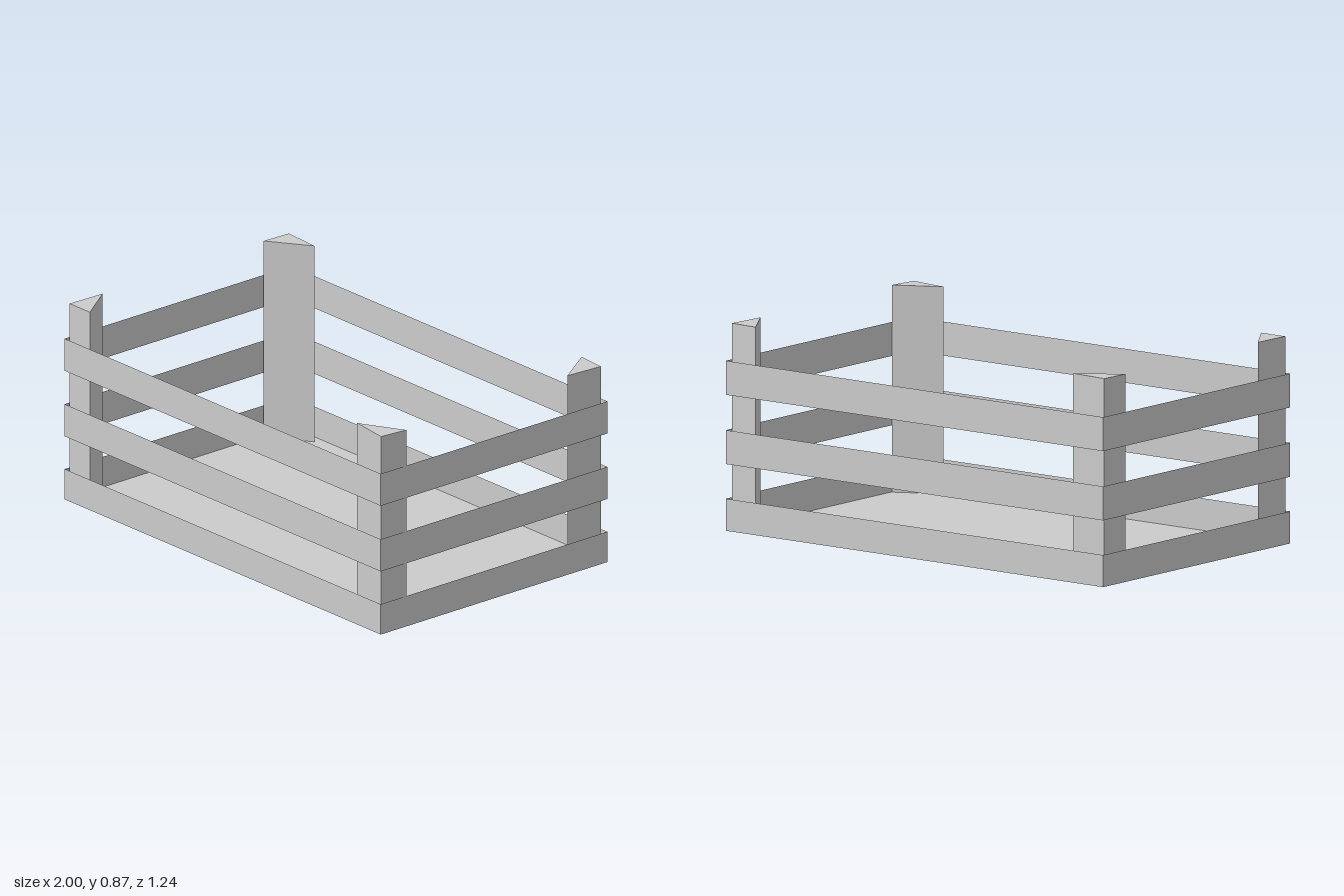
import * as THREE from 'three';

const W = 2, D = 1.24, POST_H = 0.873;

export function createModel() {
  const crate = new THREE.Group();
  crate.name = 'crate';
  const solid = new THREE.MeshStandardMaterial({ color: 0xcccccc, flatShading: true });
  const thin = new THREE.MeshStandardMaterial({ color: 0xcccccc, flatShading: true, side: THREE.DoubleSide });

  const add = (name, geometry, material) => {
    const mesh = new THREE.Mesh(geometry, material);
    mesh.name = name;
    crate.add(mesh);
    return mesh;
  };

  // Floor sheet
  add('floor', new THREE.PlaneGeometry(W, D).rotateX(-Math.PI / 2), thin);

  // Three rows of thin slats around the four sides: [bottom, top]
  for (const [y0, y1] of [[0, 0.135], [0.281, 0.424], [0.573, 0.716]]) {
    const h = y1 - y0, y = (y0 + y1) / 2;
    for (const s of [-1, 1]) {
      add(s > 0 ? 'frontSlat' : 'backSlat',
        new THREE.PlaneGeometry(W, h).rotateY(s > 0 ? 0 : Math.PI), thin).position.set(0, y, s * D / 2);
      add(s > 0 ? 'leftSlat' : 'rightSlat',
        new THREE.PlaneGeometry(D, h).rotateY(s * Math.PI / 2), thin).position.set(s * W / 2, y, 0);
    }
  }

  // Triangular corner posts, slightly uneven: plan corners as [x, z]
  const posts = {
    backRightPost: [[-0.985, -0.594], [-0.81, -0.583], [-0.99, -0.46]],
    backLeftPost: [[0.852, -0.607], [0.985, -0.597], [0.973, -0.424]],
    frontRightPost: [[-0.98, 0.43], [-0.985, 0.606], [-0.856, 0.606]],
    frontLeftPost: [[0.997, 0.477], [0.983, 0.604], [0.805, 0.58]],
  };
  for (const [name, corners] of Object.entries(posts)) {
    const shape = new THREE.Shape(corners.map(([x, z]) => new THREE.Vector2(x, -z)));
    const geometry = new THREE.ExtrudeGeometry(shape, { depth: POST_H, bevelEnabled: false });
    add(name, geometry.rotateX(-Math.PI / 2), solid);
  }

  return crate;
}
